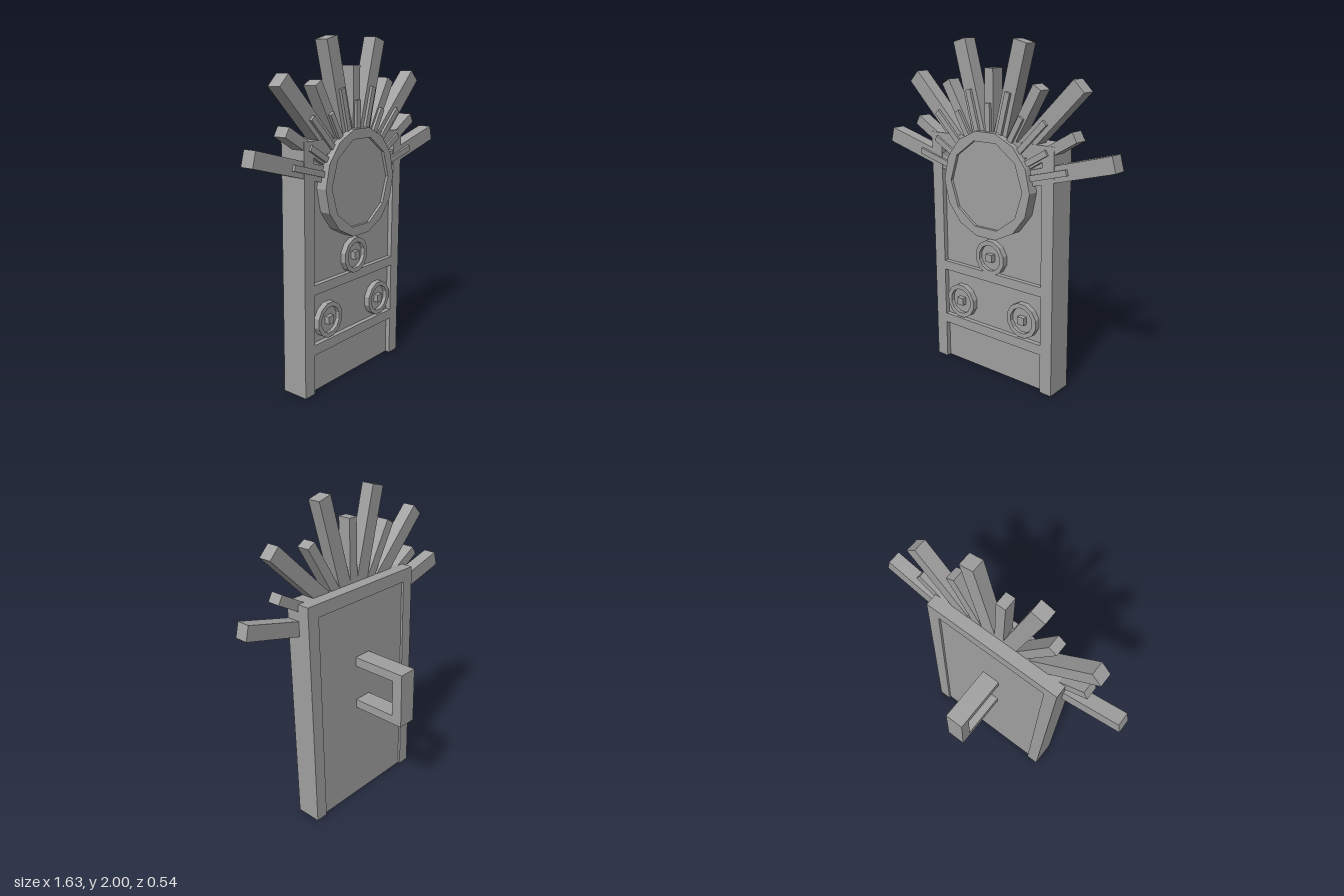
import * as THREE from 'three';

export function createModel() {
  const model = new THREE.Group();
  const gray = new THREE.MeshStandardMaterial({ color: 0xa0a0a0 });
  gray.name = 'plain gray';

  const add = (name, geometry) => {
    const mesh = new THREE.Mesh(geometry, gray);
    mesh.name = name;
    model.add(mesh);
    return mesh;
  };
  // Box given by its low and high corners
  const block = (name, x0, x1, y0, y1, z0, z1) =>
    add(name, new THREE.BoxGeometry(x1 - x0, y1 - y0, z1 - z0)
      .translate((x0 + x1) / 2, (y0 + y1) / 2, (z0 + z1) / 2));
  // Flat polygon, optionally with a polygon hole, extruded from z0 to z1
  const polygon = (r, n, turn) => Array.from({ length: n }, (_, i) => {
    const a = turn + (i / n) * Math.PI * 2;
    return new THREE.Vector2(r * Math.cos(a), r * Math.sin(a));
  });
  const plate = (name, x, y, outer, inner, z0, z1) => {
    const shape = new THREE.Shape(outer);
    if (inner) shape.holes.push(new THREE.Path(inner));
    add(name, new THREE.ExtrudeGeometry(shape, { depth: z1 - z0, bevelEnabled: false })
      .translate(x, y, z0));
  };

  // Board: recessed panel between two side stiles and rails
  const W = 0.447, IN = 0.368, H = 1.453, BACK = 0.071, FRONT = 0.235;
  const PANEL = 0.206, PANEL_BACK = 0.086;
  block('panel', -IN, IN, 0, H - 0.08, PANEL_BACK, PANEL);
  block('leftStile', IN, W, 0, H, BACK, FRONT);
  block('rightStile', -W, -IN, 0, H, BACK, FRONT);
  block('topRail', -IN, IN, H - 0.08, H, BACK, FRONT);
  block('lowerRail', -IN, IN, 0.238, 0.297, PANEL, FRONT);
  block('middleRail', -IN, IN, 0.595, 0.652, PANEL, FRONT);

  // Sunburst: long and short rays alternate every 15 degrees
  const CY = 1.186;
  const ray = (name, angle, length, width, z0, z1) => {
    const start = 0.2;
    const mesh = add(name, new THREE.BoxGeometry(length - start, width, z1 - z0)
      .translate((length + start) / 2, 0, (z0 + z1) / 2));
    mesh.position.y = CY;
    mesh.rotation.z = angle;
  };
  for (let i = 1; i <= 11; i++) {
    const long = i % 2 === 1;
    const angle = (i * Math.PI) / 12;
    ray('ray', angle, long ? 0.83 : 0.655, long ? 0.09 : 0.06, 0.148, 0.231);
    ray('rayStrip', angle, long ? 0.55 : 0.465, 0.034, 0.225, 0.248);
  }

  // Sun disc with a raised rim
  plate('sunRim', 0, CY, polygon(0.315, 14, 0), polygon(0.263, 10, 0), 0.2, 0.272);
  plate('sunFace', 0, CY, polygon(0.29, 14, 0), null, 0.2, 0.255);

  // Three round bosses with square studs
  for (const [x, y] of [[0, 0.747], [-0.236, 0.415], [0.236, 0.415]]) {
    plate('bossRim', x, y, polygon(0.107, 12, Math.PI / 12), polygon(0.079, 12, Math.PI / 12), PANEL, 0.241);
    plate('bossFace', x, y, polygon(0.09, 12, Math.PI / 12), null, PANEL, 0.218);
    block('bossStud', x - 0.023, x + 0.023, y - 0.023, y + 0.023, 0.21, 0.248);
  }

  // Back handle
  const grip = new THREE.Shape([
    [0.09, 0.655], [-0.272, 0.655], [-0.272, 1.005], [0.09, 1.005],
    [0.09, 0.946], [-0.204, 0.946], [-0.204, 0.711], [0.09, 0.711],
  ].map(([z, y]) => new THREE.Vector2(-z, y)));
  add('handle', new THREE.ExtrudeGeometry(grip, { depth: 0.118, bevelEnabled: false })
    .translate(0, 0, -0.059).rotateY(Math.PI / 2));

  return model;
}
